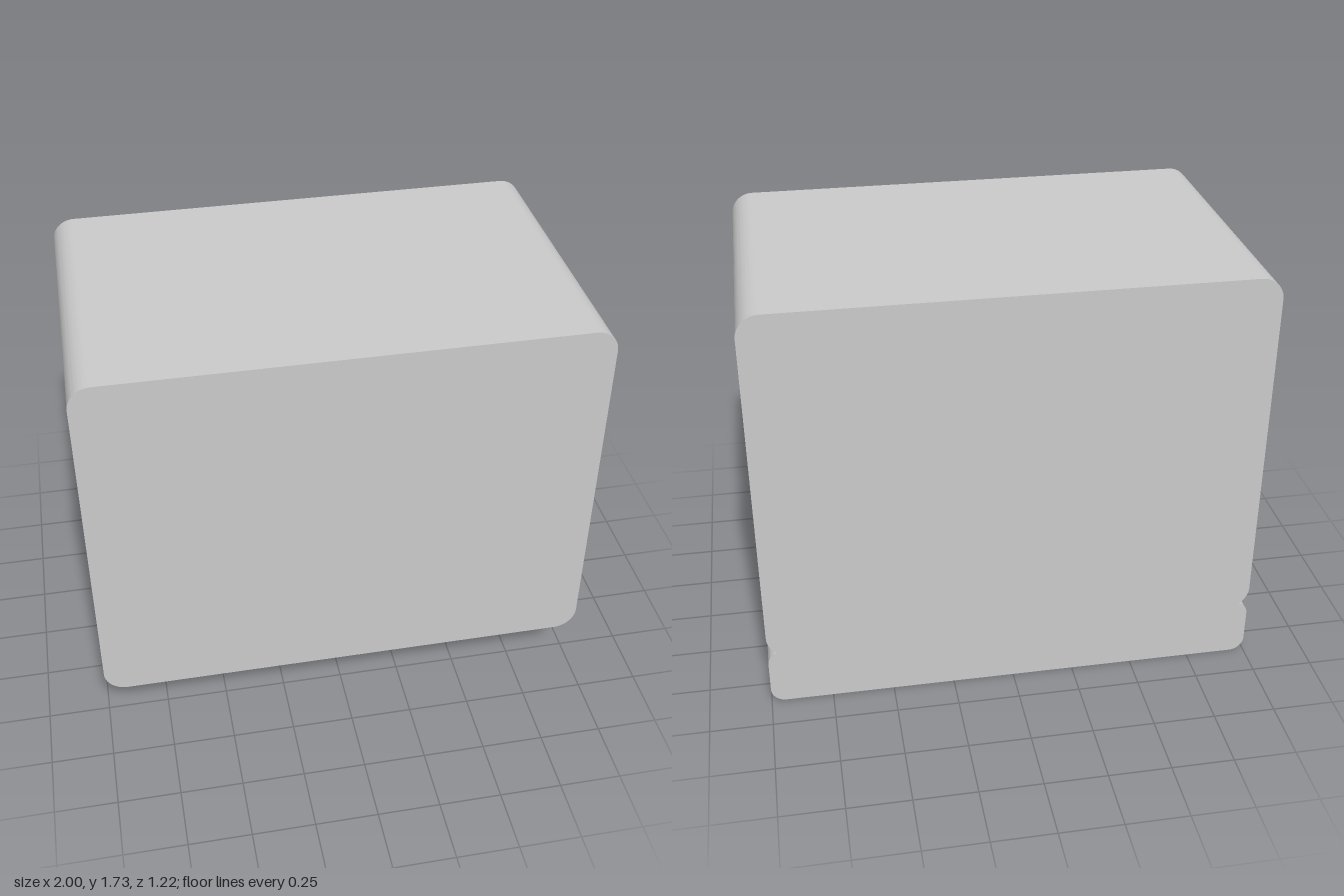
import * as THREE from 'three';
import { toCreasedNormals } from 'three/addons/utils/BufferGeometryUtils.js';

const material = new THREE.MeshStandardMaterial({ color: 0xcccccc });

// Rounded rectangle (x from -1 to 1, y0 to y1) extruded from z0 to z1.
function roundedSlab(name, y0, y1, z0, z1, r) {
  const w = 1;
  const s = new THREE.Shape();
  s.moveTo(-w + r, y0);
  s.absarc(w - r, y0 + r, r, -Math.PI / 2, 0);
  s.absarc(w - r, y1 - r, r, 0, Math.PI / 2);
  s.absarc(-w + r, y1 - r, r, Math.PI / 2, Math.PI);
  s.absarc(-w + r, y0 + r, r, Math.PI, Math.PI * 1.5);
  const geometry = new THREE.ExtrudeGeometry(s, { depth: z1 - z0, bevelEnabled: false, curveSegments: 16 });
  geometry.translate(0, 0, z0);
  const mesh = new THREE.Mesh(toCreasedNormals(geometry, 0.5), material);
  mesh.name = name;
  return mesh;
}

export function createModel() {
  const group = new THREE.Group();
  group.name = 'cabinet';
  // Large body overhanging the base at the front
  group.add(roundedSlab('body', 0.23, 1.73, -0.61, 0.61, 0.09));
  // Shallower base, flush with the back
  group.add(roundedSlab('base', 0, 0.25, -0.61, 0.135, 0.06));
  return group;
}
